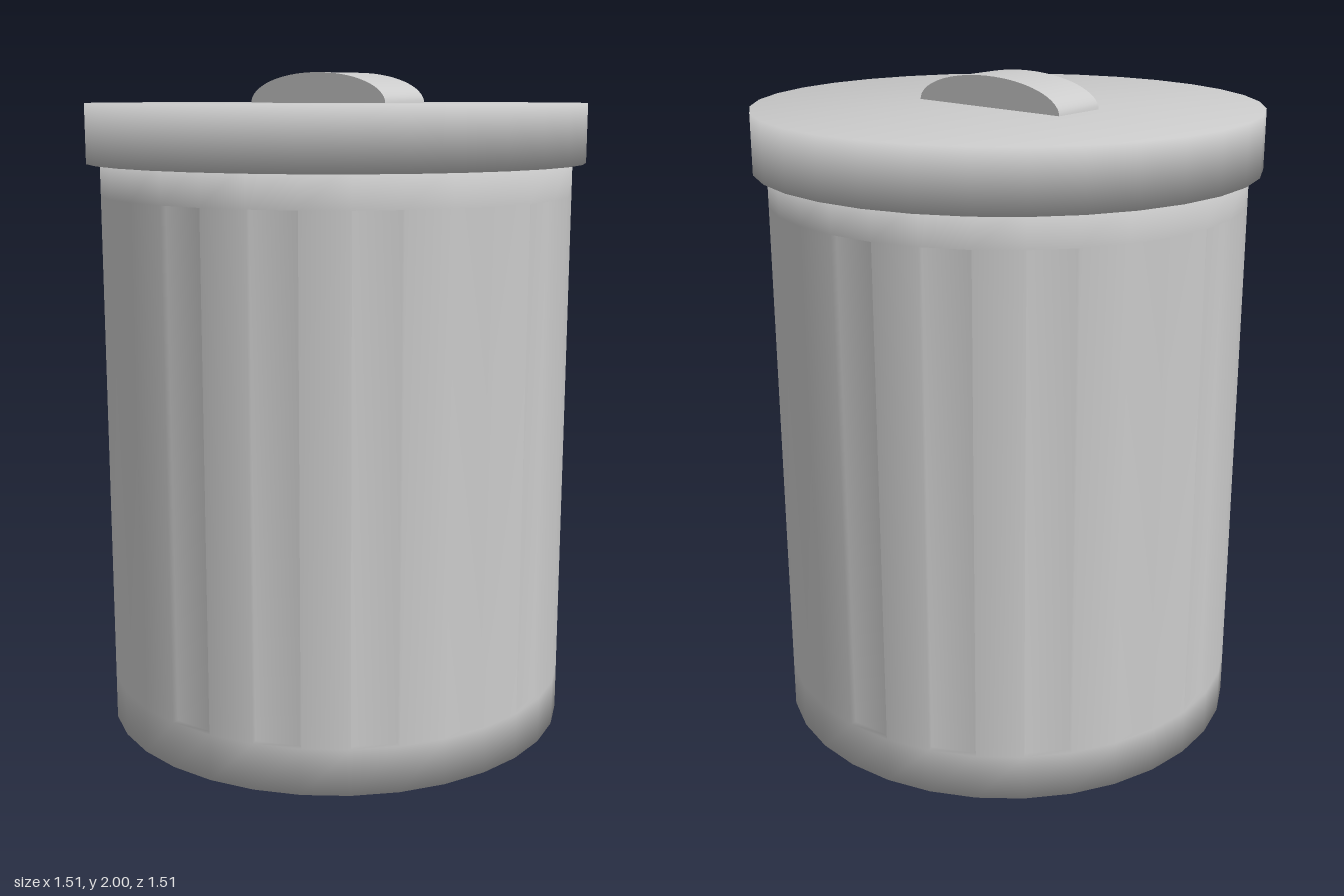
import * as THREE from 'three';
import { toCreasedNormals } from 'three/addons/utils/BufferGeometryUtils.js';

const SIDES = 32;
const BODY_R = 0.715;
const PANEL_DEPTH = 0.02;

// Can body: closed base, plain bands, and a recessed panel on every other side
function bodyGeometry() {
  const pos = [], index = [];
  const vertex = (r, y, k) => {
    const a = (k / SIDES) * Math.PI * 2;
    pos.push(r * Math.sin(a), y, r * Math.cos(a));
    return pos.length / 3 - 1;
  };
  const quad = (a, b, c, d) => index.push(a, b, c, a, c, d);

  const rings = [0, 0.14, 1.64, 1.76].map((y) =>
    Array.from({ length: SIDES }, (_, k) => vertex(BODY_R, y, k)));
  const base = vertex(0, 0, 0);
  const top = vertex(0, 1.76, 0);

  for (let k = 0; k < SIDES; k++) {
    const n = (k + 1) % SIDES;
    index.push(base, rings[0][n], rings[0][k]);
    index.push(top, rings[3][k], rings[3][n]);
    for (let j = 0; j < 3; j++) {
      const outer = [rings[j][k], rings[j][n], rings[j + 1][n], rings[j + 1][k]];
      if (j !== 1 || k % 2) {
        quad(...outer);
        continue;
      }
      // recessed panel with its four short walls
      const r = BODY_R - PANEL_DEPTH;
      const inner = [vertex(r, 0.14, k), vertex(r, 0.14, k + 1), vertex(r, 1.64, k + 1), vertex(r, 1.64, k)];
      quad(...inner);
      for (let i = 0; i < 4; i++) {
        const m = (i + 1) % 4;
        quad(outer[i], outer[m], inner[m], inner[i]);
      }
    }
  }
  const geo = new THREE.BufferGeometry();
  geo.setAttribute('position', new THREE.Float32BufferAttribute(pos, 3));
  geo.setIndex(index);
  geo.computeVertexNormals();
  return geo;
}

// Flat lid with softly shaded rim
function lidGeometry() {
  const profile = [[0, 1.735], [0.755, 1.735], [0.755, 1.91], [0, 1.91]];
  return new THREE.LatheGeometry(profile.map(([x, y]) => new THREE.Vector2(x, y)), SIDES);
}

// Low arched grip running front to back
function handleGeometry() {
  const shape = new THREE.Shape();
  shape.absellipse(0, 1.91, 0.27, 0.09, 0, Math.PI, false);
  const geo = new THREE.ExtrudeGeometry(shape, { depth: 0.18, bevelEnabled: false, curveSegments: 16 });
  geo.translate(0, 0, -0.09);
  geo.rotateY(Math.PI / 2);
  return toCreasedNormals(geo, 0.7);
}

export function createModel() {
  const group = new THREE.Group();
  group.name = 'trashCan';
  const material = new THREE.MeshStandardMaterial({ color: 0xcccccc });
  const parts = { body: bodyGeometry(), lid: lidGeometry(), handle: handleGeometry() };
  for (const [name, geometry] of Object.entries(parts)) {
    const mesh = new THREE.Mesh(geometry, material);
    mesh.name = name;
    group.add(mesh);
  }
  return group;
}
